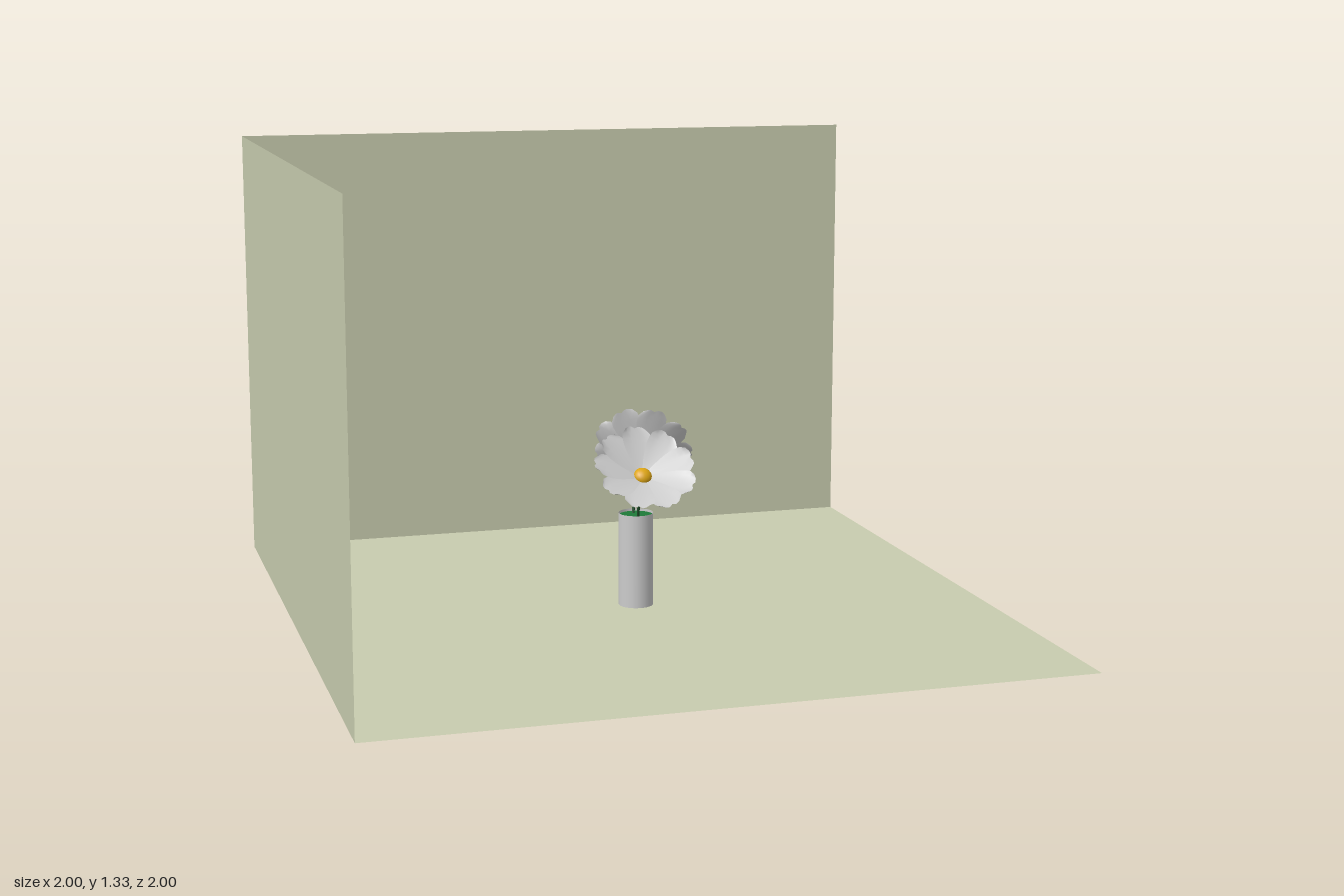
import * as THREE from 'three';

const paint = (color, side = THREE.FrontSide) => new THREE.MeshStandardMaterial({ color, side });
const grey = paint(0xcccccc);
const greyThin = paint(0xcccccc, THREE.DoubleSide);
const wallPaint = paint(0xc8ccaf, THREE.DoubleSide);
const stemGreen = paint(0x1b4a26);
const leafGreen = paint(0x1e7a38);
const yellow = paint(0xdca414);

function add(parent, name, geometry, material) {
  const mesh = new THREE.Mesh(geometry, material);
  mesh.name = name;
  parent.add(mesh);
  return mesh;
}

// One petal along +x: narrow root, broad blunt tip with a slight notch
function petalGeometry() {
  const geo = new THREE.PlaneGeometry(1, 1, 8, 6);
  const pos = geo.attributes.position;
  for (let i = 0; i < pos.count; i++) {
    const t = pos.getX(i) + 0.5;
    const s = pos.getY(i) * 2;
    const halfWidth = 0.008 + 0.036 * Math.sin(Math.min(t / 0.8, 1) * Math.PI / 2)
      - 0.013 * Math.max(0, (t - 0.8) / 0.2) ** 2;
    const notch = 0.004 * Math.cos(s * Math.PI * 2) + 0.006 * s * s;
    const r = 0.012 + 0.136 * t - notch * t ** 4;
    // rising cup, curled sides, and a twist that lets neighbours overlap
    const h = 0.042 * t + 0.005 * s * s * t + 0.006 * s * t;
    pos.setXYZ(i, r, s * halfWidth, h);
  }
  geo.computeVertexNormals();
  return geo;
}

// Flower head opening along the given direction
function flower(name, centre, facing, stemPoints) {
  const group = new THREE.Group();
  group.name = name;
  const head = new THREE.Group();
  head.name = 'flowerHead';
  head.position.set(...centre);
  head.quaternion.setFromUnitVectors(new THREE.Vector3(0, 0, 1), new THREE.Vector3(...facing).normalize());
  const petal = petalGeometry();
  const count = 9;
  for (let i = 0; i < count; i++) {
    add(head, 'petal', petal, greyThin).rotation.z = (i / count) * Math.PI * 2 + Math.PI / 2;
  }
  add(head, 'flowerCentre', new THREE.SphereGeometry(0.027, 20, 14), yellow).scale.z = 0.75;
  group.add(head);

  const path = new THREE.CatmullRomCurve3([...stemPoints, centre].map(p => new THREE.Vector3(...p)));
  add(group, 'stem', new THREE.TubeGeometry(path, 32, 0.004, 8), stemGreen);
  return group;
}

export function createModel() {
  const model = new THREE.Group();
  model.name = 'flowersInVase';

  // Floor and two walls
  const wallHeight = 1.33;
  add(model, 'floor', new THREE.PlaneGeometry(2, 2), wallPaint).rotation.x = -Math.PI / 2;
  add(model, 'backWall', new THREE.PlaneGeometry(2, wallHeight), wallPaint).position.set(0, wallHeight / 2, -1);
  const side = add(model, 'rightWall', new THREE.PlaneGeometry(2, wallHeight), wallPaint);
  side.position.set(-1, wallHeight / 2, 0);
  side.rotation.y = Math.PI / 2;

  // Vase with a green filling just below the rim
  const vase = new THREE.Group();
  vase.name = 'vase';
  add(vase, 'vaseWall', new THREE.CylinderGeometry(0.051, 0.051, 0.277, 32, 1, true), greyThin).position.y = 0.1385;
  const base = add(vase, 'vaseBase', new THREE.CircleGeometry(0.051, 32), grey);
  base.rotation.x = -Math.PI / 2;
  base.position.y = 0.003;
  const filling = add(vase, 'vaseFilling', new THREE.CircleGeometry(0.05, 32), leafGreen);
  filling.rotation.x = -Math.PI / 2;
  filling.position.y = 0.27;
  model.add(vase);

  // Flowers
  model.add(flower('frontFlower', [0, 0.4, 0.07], [0, 0.75, 0.65],
    [[0, 0.1, 0.005], [0, 0.27, 0.022], [0, 0.345, 0.042]]));
  model.add(flower('backFlower', [0.07, 0.405, -0.178], [0.34, 0.48, -0.81],
    [[0, 0.1, -0.005], [0, 0.27, -0.027], [0.018, 0.345, -0.065], [0.045, 0.388, -0.12]]));

  return model;
}
